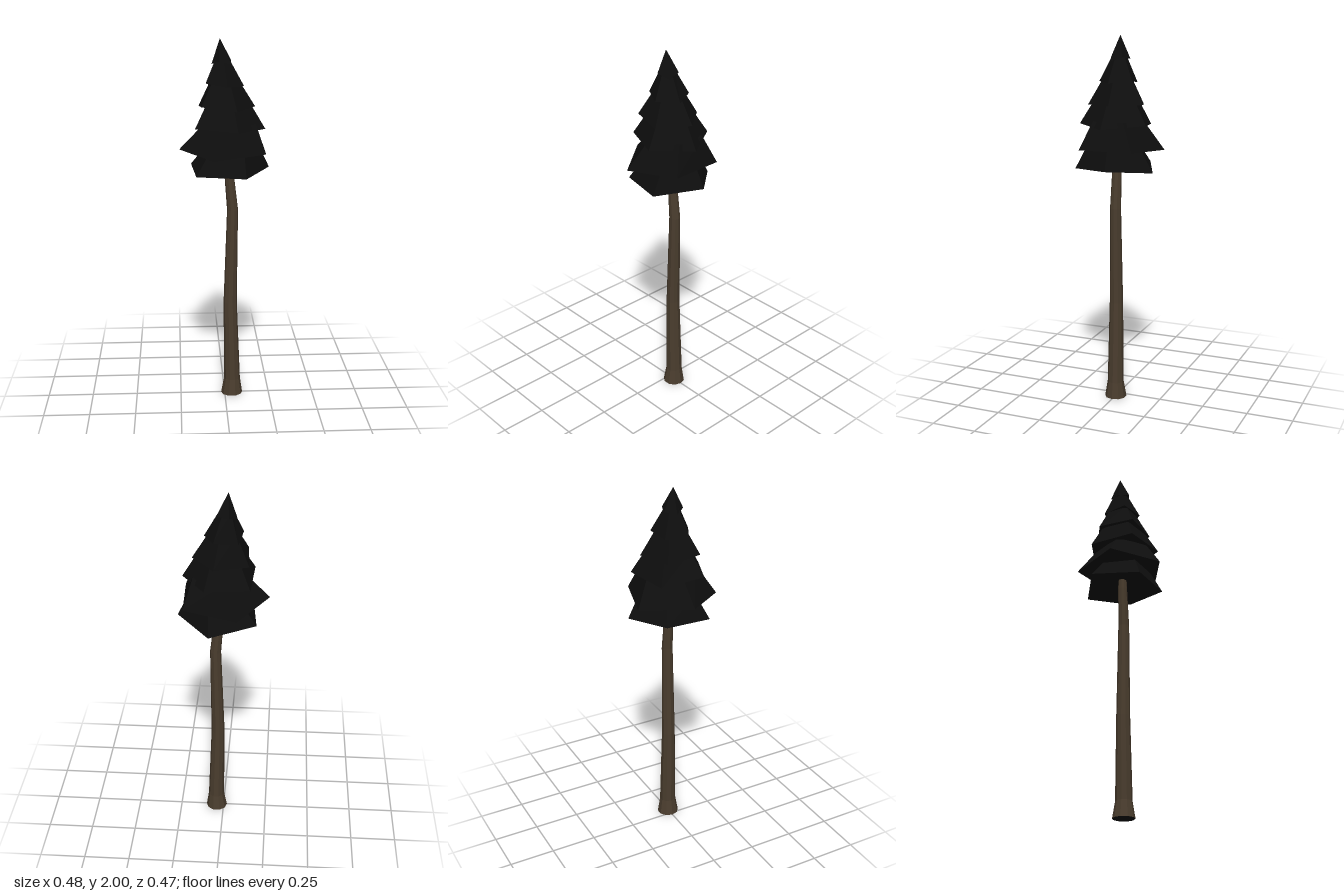
import * as THREE from 'three';

const foliageMat = new THREE.MeshStandardMaterial({ color: 0x0e0e0e, side: THREE.DoubleSide, flatShading: true });
foliageMat.name = 'dark needles';
const barkMat = new THREE.MeshStandardMaterial({ color: 0x4a3d2e, flatShading: true });
barkMat.name = 'brown bark';

// Ring of points around (x, y); tilt leans the ring and droop gives corners uneven heights
function ring(n, x, y, r, startDeg, jitter = 0) {
  return Array.from({ length: n }, (_, i) => {
    const a = THREE.MathUtils.degToRad(startDeg) + (i / n) * Math.PI * 2;
    return [x + Math.cos(a) * r, y + jitter * Math.sin(i * 2.3 + startDeg), Math.sin(a) * r];
  });
}

// Skin stacked rings (bottom to top), closing both ends to a centre point
function loft(rings, bottomCentre, topCentre) {
  const pos = [];
  const tri = (a, b, c) => pos.push(...a, ...b, ...c);
  const n = rings[0].length;
  const last = rings[rings.length - 1];
  for (let i = 0; i < n; i++) {
    const j = (i + 1) % n;
    for (let k = 0; k < rings.length - 1; k++) {
      const lo = rings[k], hi = rings[k + 1];
      tri(lo[j], lo[i], hi[i]);
      tri(lo[j], hi[i], hi[j]);
    }
    if (bottomCentre) tri(bottomCentre, rings[0][i], rings[0][j]);
    if (topCentre) tri(topCentre, last[j], last[i]);
  }
  const g = new THREE.BufferGeometry();
  g.setAttribute('position', new THREE.Float32BufferAttribute(pos, 3));
  g.computeVertexNormals();
  return g;
}

export function createModel() {
  const tree = new THREE.Group();
  tree.name = 'pineTree';

  // Crooked trunk: [centre x, y, radius]
  const path = [
    [0.04, 0, 0.06], [0.042, 0.09, 0.045], [0.031, 0.55, 0.037],
    [0.043, 1.08, 0.03], [0.022, 1.3, 0.025], [0.01, 1.5, 0.02],
  ];
  const trunk = new THREE.Mesh(
    loft(path.map(([x, y, r]) => ring(10, x, y, r, 0)), null, [0.01, 1.5, 0]), barkMat);
  trunk.name = 'trunk';
  tree.add(trunk);

  // Dark underside of the trunk
  const base = new THREE.Mesh(new THREE.CircleGeometry(0.06, 10), foliageMat);
  base.name = 'trunkBase';
  base.rotation.x = Math.PI / 2;
  base.position.x = 0.04;
  tree.add(base);

  // Five-sided branch tiers: bottom x, y, radius; top x, y, radius; turn in degrees
  const tiers = [
    [0.015, 1.302, 0.226, 0.035, 1.42, 0.155, -5],
    [0.005, 1.408, 0.248, 0.04, 1.56, 0.145, 178],
    [0.012, 1.535, 0.204, 0.01, 1.67, 0.12, 4],
    [0.0, 1.645, 0.162, -0.005, 1.79, 0.075, -3],
    [-0.005, 1.762, 0.107, -0.015, 1.9, 0.036, 10],
    [-0.012, 1.878, 0.057, -0.025, 2.0, 0, 180],
  ];
  tiers.forEach(([bx, by, br, tx, ty, tr, turn], i) => {
    const lower = ring(5, bx, by, br, turn, 0.012);
    const upper = ring(5, tx, ty, tr, turn);
    // The underside rises slightly to a hollow in the middle
    const mesh = new THREE.Mesh(loft([lower, upper], [bx, by + br * 0.25, 0], tr ? [tx, ty, 0] : null), foliageMat);
    mesh.name = `branchTier${i + 1}`;
    tree.add(mesh);
  });

  return tree;
}
